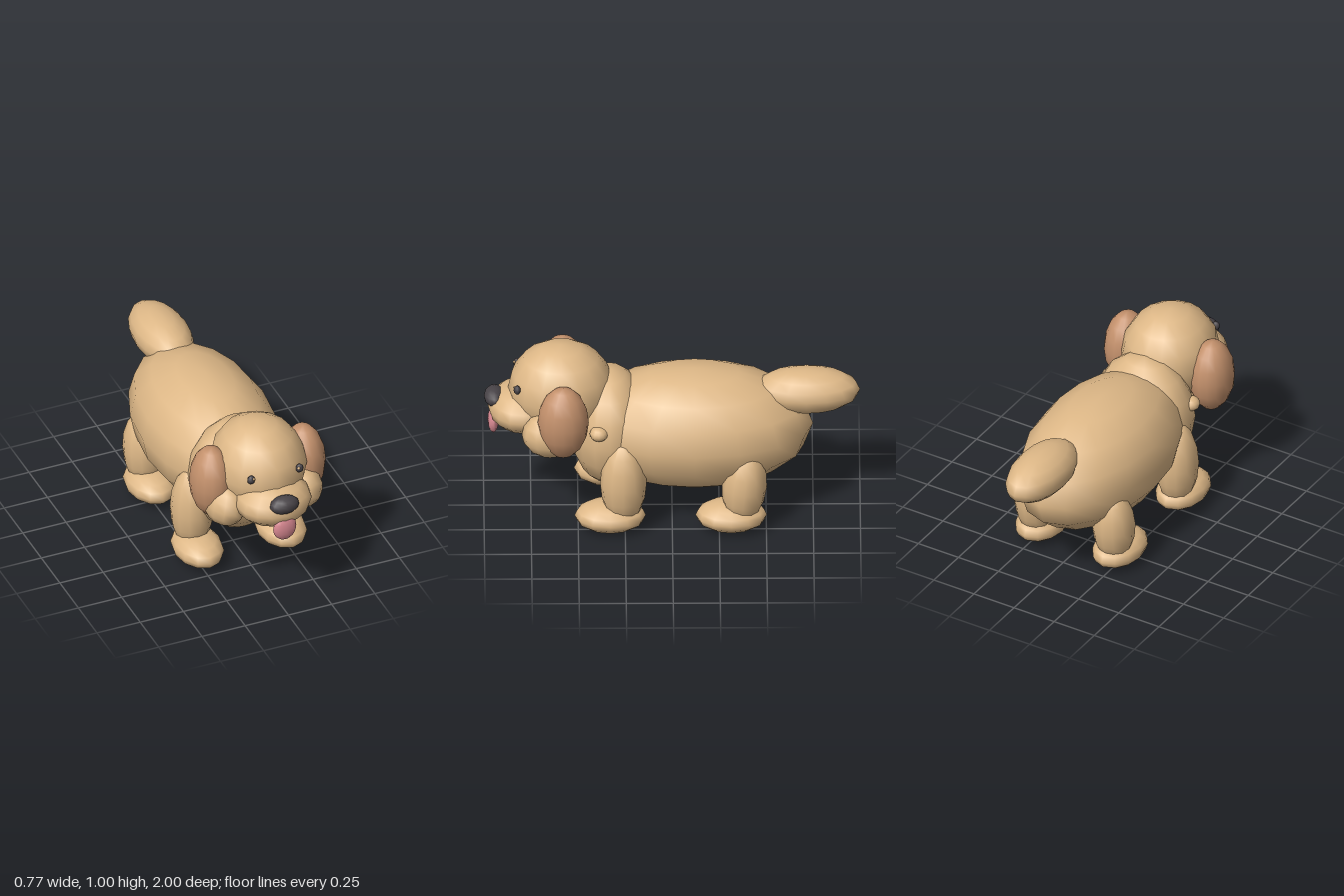
import * as THREE from 'three';

const material = (name, color) => {
  const m = new THREE.MeshStandardMaterial({ color });
  m.name = name;
  return m;
};

export function createModel() {
  const dog = new THREE.Group();
  dog.name = 'puppy';
  const tan = material('tan fur', 0xdeb887);
  const brown = material('brown ear', 0xc4916c);
  const dark = material('dark nose', 0x484347);
  const pink = material('pink tongue', 0xdb8a93);

  const big = new THREE.SphereGeometry(1, 16, 8);
  const medium = new THREE.SphereGeometry(1, 12, 8);
  const small = new THREE.SphereGeometry(1, 8, 6);

  // One ellipsoid: centre, radii and optional tilt
  function blob(name, geometry, mat, centre, radii, tilt = [0, 0, 0]) {
    const mesh = new THREE.Mesh(geometry, mat);
    mesh.name = name;
    mesh.position.set(...centre);
    mesh.scale.set(...radii);
    mesh.rotation.set(...tilt);
    dog.add(mesh);
  }

  // A mirrored pair on the left (+x) and right (-x)
  function pair(name, geometry, mat, [x, y, z], radii, [rx, ry, rz] = [0, 0, 0]) {
    blob('left' + name, geometry, mat, [x, y, z], radii, [rx, ry, rz]);
    blob('right' + name, geometry, mat, [-x, y, z], radii, [rx, -ry, -rz]);
  }

  // Trunk and tail
  blob('body', big, tan, [0, 0.508, -0.12], [0.36, 0.344, 0.63]);
  blob('neck', big, tan, [0, 0.51, 0.33], [0.287, 0.337, 0.217]);
  blob('tail', big, tan, [0, 0.718, -0.715], [0.15, 0.123, 0.285]);

  // Head and face
  blob('head', big, tan, [0, 0.74, 0.59], [0.257, 0.262, 0.282]);
  blob('muzzle', big, tan, [0, 0.627, 0.79], [0.21, 0.127, 0.19]);
  blob('nose', medium, dark, [0, 0.685, 0.945], [0.083, 0.05, 0.055]);
  blob('tongue', medium, pink, [0, 0.54, 0.95], [0.067, 0.075, 0.03]);
  pair('Cheek', medium, tan, [0.22, 0.577, 0.65], [0.112, 0.127, 0.15], [0, 0, 0.15]);
  pair('Ear', big, brown, [0.265, 0.68, 0.58], [0.118, 0.21, 0.136]);
  pair('Eye', small, dark, [0.14, 0.805, 0.824], [0.022, 0.025, 0.019]);
  pair('EyeGlint', small, tan, [0.13, 0.815, 0.838], [0.008, 0.008, 0.007]);
  pair('NeckBump', medium, tan, [0.25, 0.598, 0.39], [0.05, 0.04, 0.05]);

  // Legs and paws
  pair('FrontLeg', medium, tan, [0.243, 0.29, 0.26], [0.115, 0.25, 0.124]);
  pair('BackLeg', medium, tan, [0.243, 0.265, -0.383], [0.115, 0.222, 0.12], [-0.08, 0, 0]);
  for (const [name, z] of [['FrontPaw', 0.33], ['BackPaw', -0.313]]) {
    pair(name, medium, tan, [0.24, 0.085, z], [0.133, 0.084, 0.19]);
  }
  return dog;
}
